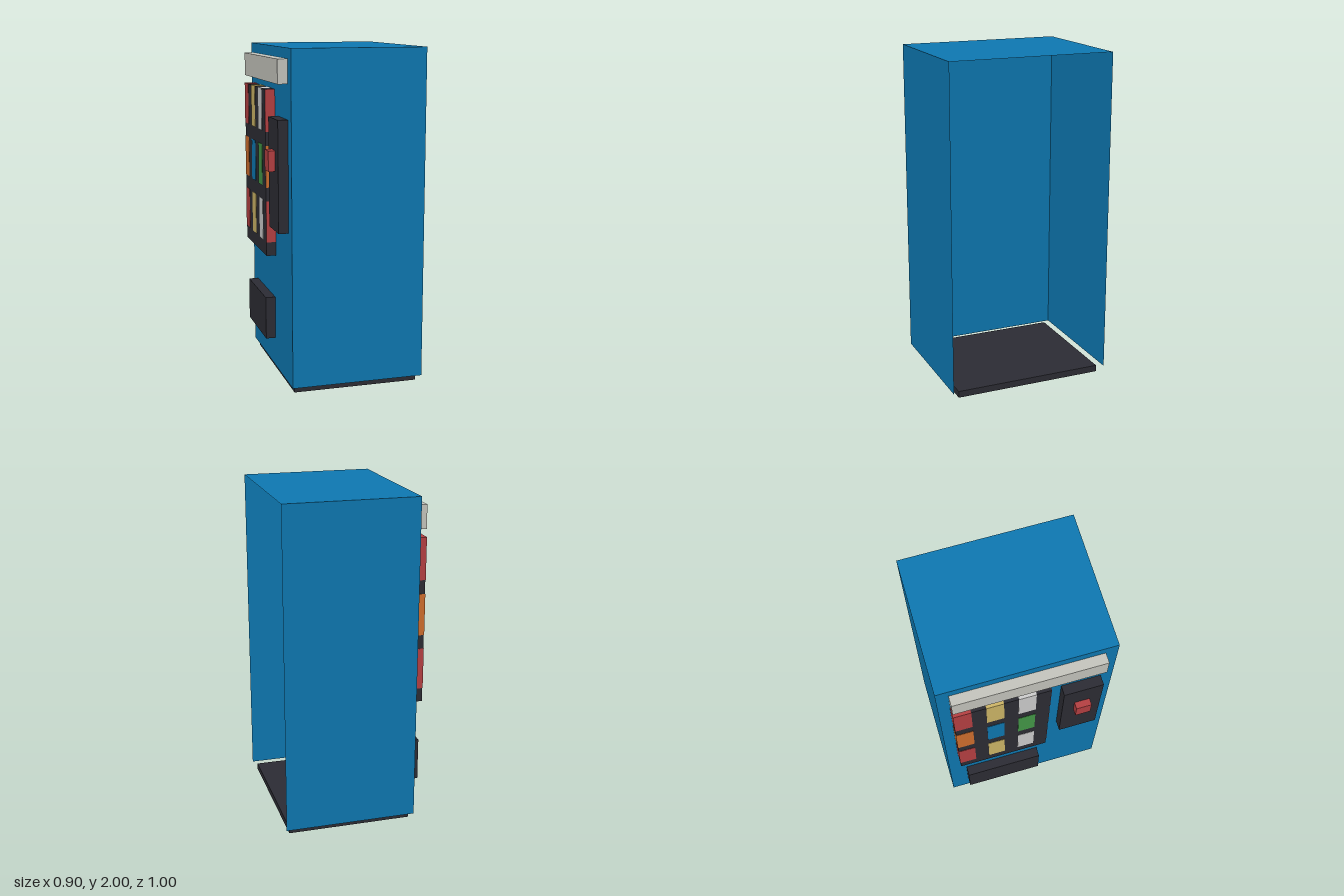
import * as THREE from 'three';

const mat = (name, color, extra = {}) => {
  const m = new THREE.MeshStandardMaterial({ color, ...extra });
  m.name = name;
  return m;
};

export function createModel() {
  const model = new THREE.Group();
  model.name = 'vendingMachine';

  const blue = mat('cabinetBlue', 0x0e7ab4, { side: THREE.DoubleSide });
  const dark = mat('charcoal', 0x2d2d35);
  const grey = mat('warmGrey', 0xc8c8c0);
  const red = mat('red', 0xb84143);
  const yellow = mat('yellow', 0xd0b868);
  const white = mat('paleWhite', 0xd0d0d0);
  const orange = mat('orange', 0xd2702e);
  const green = mat('green', 0x449a48);

  // Box given by its extents on each axis
  const box = (name, material, [x0, x1], [y0, y1], [z0, z1], parent = model) => {
    const mesh = new THREE.Mesh(new THREE.BoxGeometry(x1 - x0, y1 - y0, z1 - z0), material);
    mesh.position.set((x0 + x1) / 2, (y0 + y1) / 2, (z0 + z1) / 2);
    mesh.name = name;
    parent.add(mesh);
  };

  // Cabinet shell: thin walls, open at +x and underneath
  const cabinet = new THREE.Group();
  cabinet.name = 'cabinet';
  model.add(cabinet);
  const wall = (name, w, h, pos, rot) => {
    const mesh = new THREE.Mesh(new THREE.PlaneGeometry(w, h), blue);
    mesh.position.set(...pos);
    mesh.rotation.set(...rot);
    mesh.name = name;
    cabinet.add(mesh);
  };
  wall('frontWall', 0.8, 1.96, [0.05, 1.02, 0.5], [0, 0, 0]);
  wall('backWall', 0.8, 1.96, [0.05, 1.02, -0.5], [0, Math.PI, 0]);
  wall('servingWall', 1, 1.96, [-0.35, 1.02, 0], [0, -Math.PI / 2, 0]);
  wall('roof', 0.8, 1, [0.05, 2, 0], [-Math.PI / 2, 0, 0]);

  // Plinth
  box('plinth', dark, [-0.33, 0.425], [0, 0.04], [-0.46, 0.46]);

  // Fittings on the serving wall
  const depth = [-0.41, -0.351];
  box('headerSign', grey, depth, [1.8, 1.94], [-0.43, 0.43]);
  box('coinPanel', dark, depth, [0.95, 1.6], [0.2, 0.43]);
  box('coinButton', red, [-0.45, -0.41], [1.3, 1.42], [0.27, 0.36]);
  box('deliveryFlap', dark, depth, [0.22, 0.48], [-0.39, 0.085]);

  // Display with a three by three grid of products, rows from the bottom up
  const display = new THREE.Group();
  display.name = 'display';
  model.add(display);
  box('displayPanel', dark, depth, [0.75, 1.75], [-0.43, 0.12], display);
  const rows = [[red, yellow, white], [orange, blue, green], [red, yellow, white]];
  const lift = 0.002;
  rows.forEach((colours, r) => {
    const top = 0.75 + (r + 1) / 3;
    const y = [top - 0.25, top + (r === 2 ? lift : 0)];
    colours.forEach((colour, c) => {
      const z = -0.43 + c * 0.1833;
      box('product', colour, [-0.41 - lift, -0.351], y, [z - (c ? 0 : lift), z + 0.1], display);
    });
    // Coloured band on the far end of the panel
    box('endBand', colours[0], depth, [top - 0.25, top], [0.12, 0.12 + lift], display);
  });

  return model;
}
